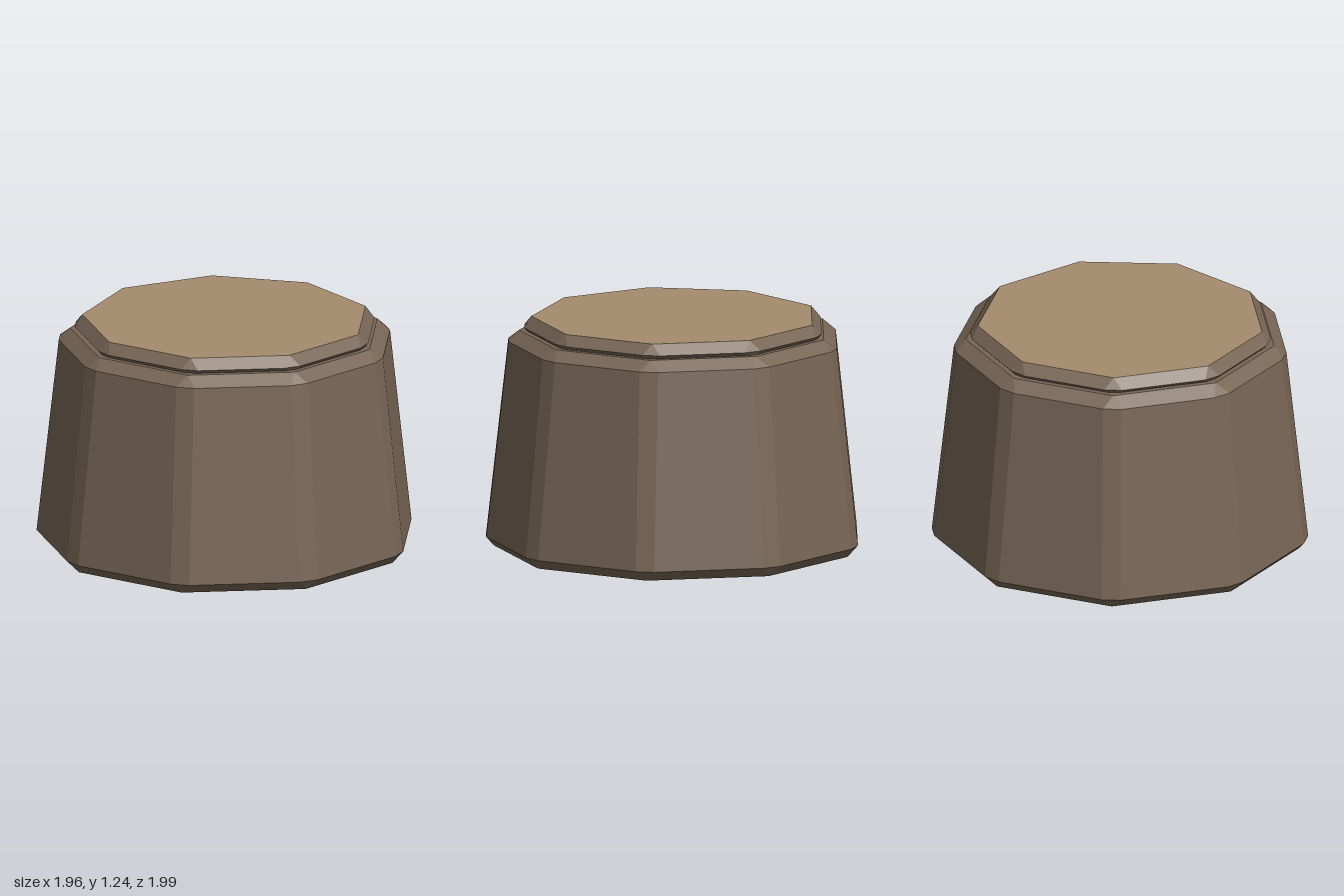
import * as THREE from 'three';

const SIDES = 9;
const CENTER_X = -0.025;

// Nine-sided ring; cut > 0 truncates each corner by that length along its two edges.
function ring(radius, y, cut) {
  const corner = (k) => {
    const a = (k * 2 * Math.PI) / SIDES;
    return new THREE.Vector3(CENTER_X + radius * Math.cos(a), y, radius * Math.sin(a));
  };
  const points = [];
  for (let k = 0; k < SIDES; k++) {
    for (const step of [-1, 1]) {
      const p = corner(k);
      const dir = corner(k + step).sub(p).normalize();
      points.push(p.addScaledVector(dir, cut));
    }
  }
  return points;
}

function toMesh(name, triangles, material) {
  const geometry = new THREE.BufferGeometry().setFromPoints(triangles.flat());
  geometry.computeVertexNormals();
  const mesh = new THREE.Mesh(geometry, material);
  mesh.name = name;
  return mesh;
}

// Keeps only triangles with real area (sharp rings hold doubled points).
function addTriangle(list, a, b, c) {
  if (new THREE.Triangle(a, b, c).getArea() > 1e-7) list.push([a, b, c]);
}

function capTriangles(points, up) {
  const list = [];
  const center = new THREE.Vector3(CENTER_X, points[0].y, 0);
  points.forEach((p, i) => {
    const q = points[(i + 1) % points.length];
    if (up) addTriangle(list, center, q, p);
    else addTriangle(list, center, p, q);
  });
  return list;
}

function wallTriangles(rings) {
  const list = [];
  for (let r = 0; r < rings.length - 1; r++) {
    const low = rings[r], high = rings[r + 1];
    low.forEach((a, i) => {
      const j = (i + 1) % low.length;
      addTriangle(list, a, high[i], low[j]);
      addTriangle(list, low[j], high[i], high[j]);
    });
  }
  return list;
}

export function createModel() {
  const group = new THREE.Group();
  group.name = 'stump';
  const bark = new THREE.MeshStandardMaterial({ color: 0x786656, flatShading: true });
  const wood = new THREE.MeshStandardMaterial({ color: 0xa48b6c, flatShading: true });

  // Tapered trunk with bevelled rims and vertical edges
  const trunk = [
    ring(0.963, 0, 0),
    ring(1.022, 0.055, 0.053),
    ring(0.904, 1.11, 0.053),
    ring(0.83, 1.163, 0),
  ];
  group.add(toMesh('trunk', [
    ...capTriangles(trunk[0], false),
    ...wallTriangles(trunk),
    ...capTriangles(trunk[3], true),
  ], bark));

  // Thin bevelled slab resting in the trunk top
  const slab = [
    ring(0.765, 1.13, 0),
    ring(0.819, 1.183, 0.05),
    ring(0.765, 1.238, 0),
  ];
  group.add(toMesh('slabRim', [
    ...capTriangles(slab[0], false),
    ...wallTriangles(slab),
  ], bark));

  // Pale cut face
  group.add(toMesh('cutFace', capTriangles(slab[2], true), wood));

  return group;
}
